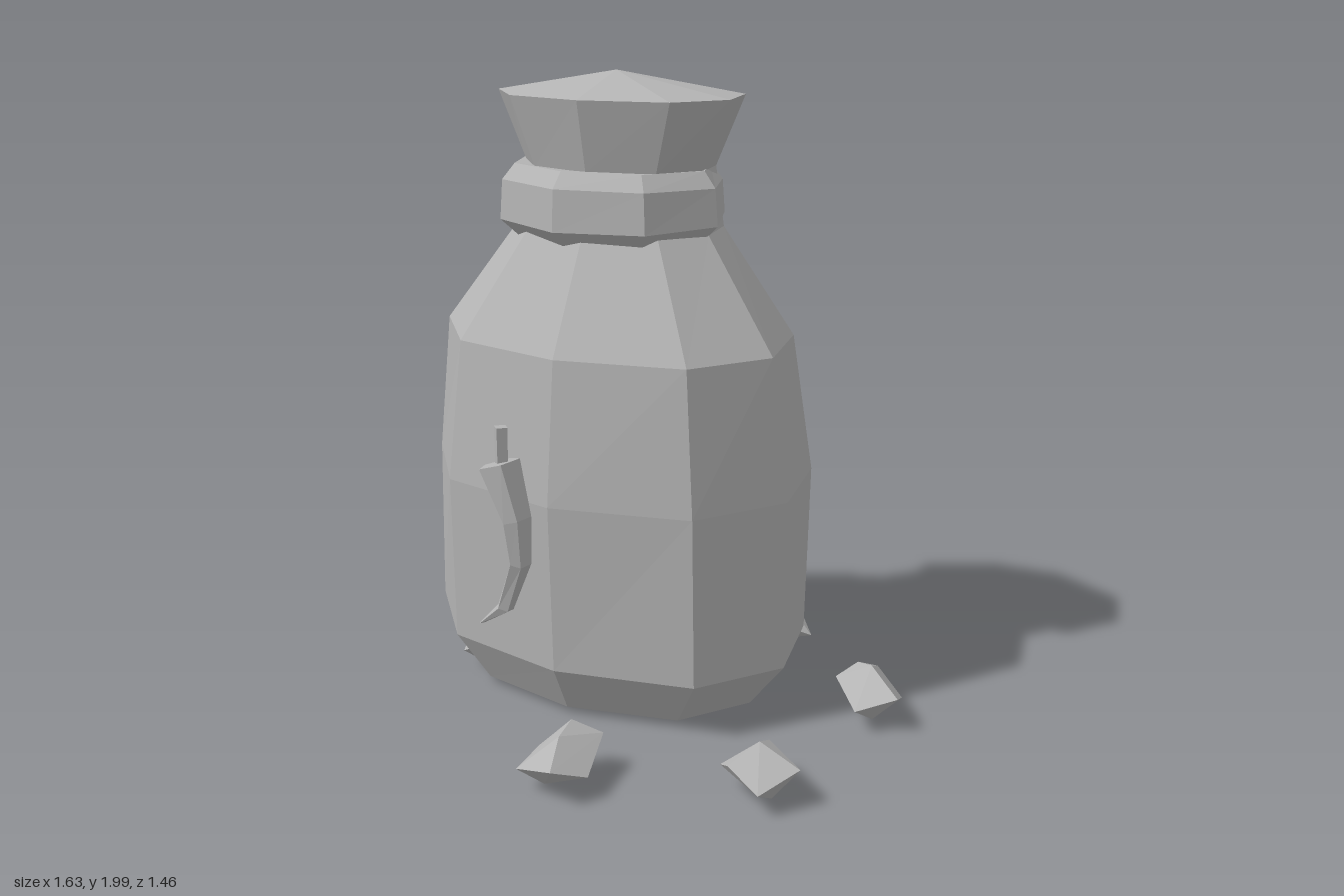
import * as THREE from 'three';
import { ConvexGeometry } from 'three/addons/geometries/ConvexGeometry.js';

const stoneGrey = new THREE.MeshStandardMaterial({ color: 0xb4b4b4, flatShading: true });
stoneGrey.name = 'plain grey';

// Closed flat-shaded skin over rings listed bottom to top, each running from +x towards +z.
function loft(rings, bottom, top) {
  const pos = [];
  const tri = (a, b, c) => pos.push(...a, ...b, ...c);
  const n = rings[0].length;
  const last = rings[rings.length - 1];
  for (let j = 0; j < n; j++) {
    const k = (j + 1) % n;
    for (let i = 0; i < rings.length - 1; i++) {
      const lo = rings[i], hi = rings[i + 1];
      tri(lo[j], hi[j], lo[k]);
      tri(lo[k], hi[j], hi[k]);
    }
    tri(bottom, rings[0][j], rings[0][k]);
    tri(top, last[k], last[j]);
  }
  const geometry = new THREE.BufferGeometry();
  geometry.setAttribute('position', new THREE.Float32BufferAttribute(pos, 3));
  geometry.computeVertexNormals();
  return geometry;
}

function addMesh(group, geometry, name) {
  const mesh = new THREE.Mesh(geometry, stoneGrey);
  mesh.name = name;
  group.add(mesh);
  return mesh;
}

const CX = -0.17, CZ = -0.17;

// Uneven nine-sided outline of the sack at its widest
const outline = [
  [0.48, -0.15], [0.34, 0.16], [-0.08, 0.32], [-0.51, 0.28], [-0.80, 0.0],
  [-0.80, -0.34], [-0.50, -0.60], [-0.08, -0.69], [0.36, -0.50],
];

function makeSack() {
  // height, x scale, z scale, z shift
  const levels = [
    [0.03, 0.81, 0.78, 0.0],
    [0.19, 1.01, 0.94, 0.01],
    [0.73, 1.0, 1.0, 0.0],
    [1.18, 0.92, 0.87, 0.02],
    [1.52, 0.53, 0.52, 0.0],
    [1.71, 0.49, 0.47, 0.0],
    [1.93, 0.64, 0.59, 0.0],
  ];
  const rings = levels.map(([y, sx, sz, dz]) =>
    outline.map(([x, z]) => [CX + (x - CX) * sx, y, CZ + (z - CZ) * sz + dz]));
  return loft(rings, [CX, 0.03, CZ], [-0.18, 2.0, -0.17]);
}

// Eight-sided tie around the neck, sagging slightly at the front
function makeTie() {
  const levels = [[1.50, 0.34, 0.25], [1.55, 0.395, 0.305], [1.665, 0.385, 0.30], [1.715, 0.345, 0.26]];
  const rings = levels.map(([y, rx, rz]) =>
    Array.from({ length: 8 }, (_, j) => {
      const a = j * Math.PI / 4;
      const sag = y < 1.6 ? 0.015 * Math.sin(a) : 0;
      return [-0.185 + rx * Math.cos(a), y - sag, -0.155 + rz * Math.sin(a)];
    }));
  return loft(rings, [-0.185, 1.51, -0.155], [-0.185, 1.70, -0.155]);
}

// Curved five-sided pepper pod
function makePod() {
  // x, y, x radius, z radius, tilt
  const levels = [
    [-0.268, 0.345, 0.014, 0.013, 0.005],
    [-0.178, 0.415, 0.027, 0.024, -0.006],
    [-0.112, 0.575, 0.025, 0.042, -0.008],
    [-0.122, 0.71, 0.033, 0.056, 0.008],
    [-0.19, 0.875, 0.055, 0.075, 0.015],
  ];
  const rings = levels.map(([x, y, rx, rz, tilt]) =>
    Array.from({ length: 5 }, (_, j) => {
      const a = Math.PI + j * Math.PI * 2 / 5;
      return [x + rx * Math.cos(a), y + tilt * Math.cos(a), 0.41 + rz * Math.sin(a)];
    }));
  return loft(rings, [-0.268, 0.345, 0.41], [-0.185, 0.88, 0.41]);
}

// Faceted stone: a zigzag waist outline with a crown and a foot point
function makeStone(waist, crown, foot) {
  const points = waist.map(([x, z], i) => new THREE.Vector3(x, i % 2 ? 0.125 : 0.08, z));
  for (const [x, y, z] of [...crown, foot]) points.push(new THREE.Vector3(x, y, z));
  return new ConvexGeometry(points);
}

const stones = [
  { name: 'backStone',
    waist: [[0.02, -0.64], [0.20, -0.73], [0.30, -0.64], [0.24, -0.56], [0.10, -0.53]],
    crown: [[0.18, 0.18, -0.66], [0.11, 0.17, -0.61]], foot: [0.17, 0.04, -0.62] },
  { name: 'sideBackStone',
    waist: [[0.56, -0.42], [0.65, -0.46], [0.78, -0.38], [0.82, -0.27], [0.71, -0.20], [0.58, -0.31]],
    crown: [[0.69, 0.18, -0.34], [0.62, 0.16, -0.38]], foot: [0.72, 0.02, -0.30] },
  { name: 'sideFrontStone',
    waist: [[0.56, 0.33], [0.64, 0.19], [0.74, 0.22], [0.81, 0.30], [0.75, 0.43], [0.63, 0.40]],
    crown: [[0.68, 0.18, 0.31]], foot: [0.73, 0.02, 0.32] },
  { name: 'frontStone',
    waist: [[0.06, 0.54], [0.22, 0.44], [0.30, 0.62], [0.25, 0.73], [0.10, 0.70]],
    crown: [[0.14, 0.165, 0.49], [0.18, 0.165, 0.60]], foot: [0.14, 0.01, 0.62] },
  // Two stones half buried in the lower edge of the sack
  { name: 'buriedBackStone',
    waist: [[-0.47, -0.52], [-0.38, -0.61], [-0.27, -0.60], [-0.24, -0.50], [-0.36, -0.43]],
    crown: [[-0.35, 0.17, -0.53]], foot: [-0.34, 0.02, -0.53] },
  { name: 'buriedSideStone',
    waist: [[-0.65, 0.05], [-0.58, -0.03], [-0.46, 0.0], [-0.47, 0.12], [-0.58, 0.16]],
    crown: [[-0.54, 0.16, 0.06]], foot: [-0.55, 0.015, 0.08] },
];

export function createModel() {
  const model = new THREE.Group();
  model.name = 'tiedSackWithPepper';

  addMesh(model, makeSack(), 'sack');
  addMesh(model, makeTie(), 'neckTie');

  // Pepper floating in front of the sack
  const pepper = new THREE.Group();
  pepper.name = 'pepper';
  addMesh(pepper, makePod(), 'pepperPod');
  const stem = addMesh(pepper, new THREE.CylinderGeometry(0.024, 0.022, 0.13, 4), 'pepperStem');
  stem.position.set(-0.18, 0.925, 0.41);
  stem.rotation.y = 0.15;
  model.add(pepper);

  // Scattered stones
  for (const { name, waist, crown, foot } of stones) {
    addMesh(model, makeStone(waist, crown, foot), name);
  }
  return model;
}
